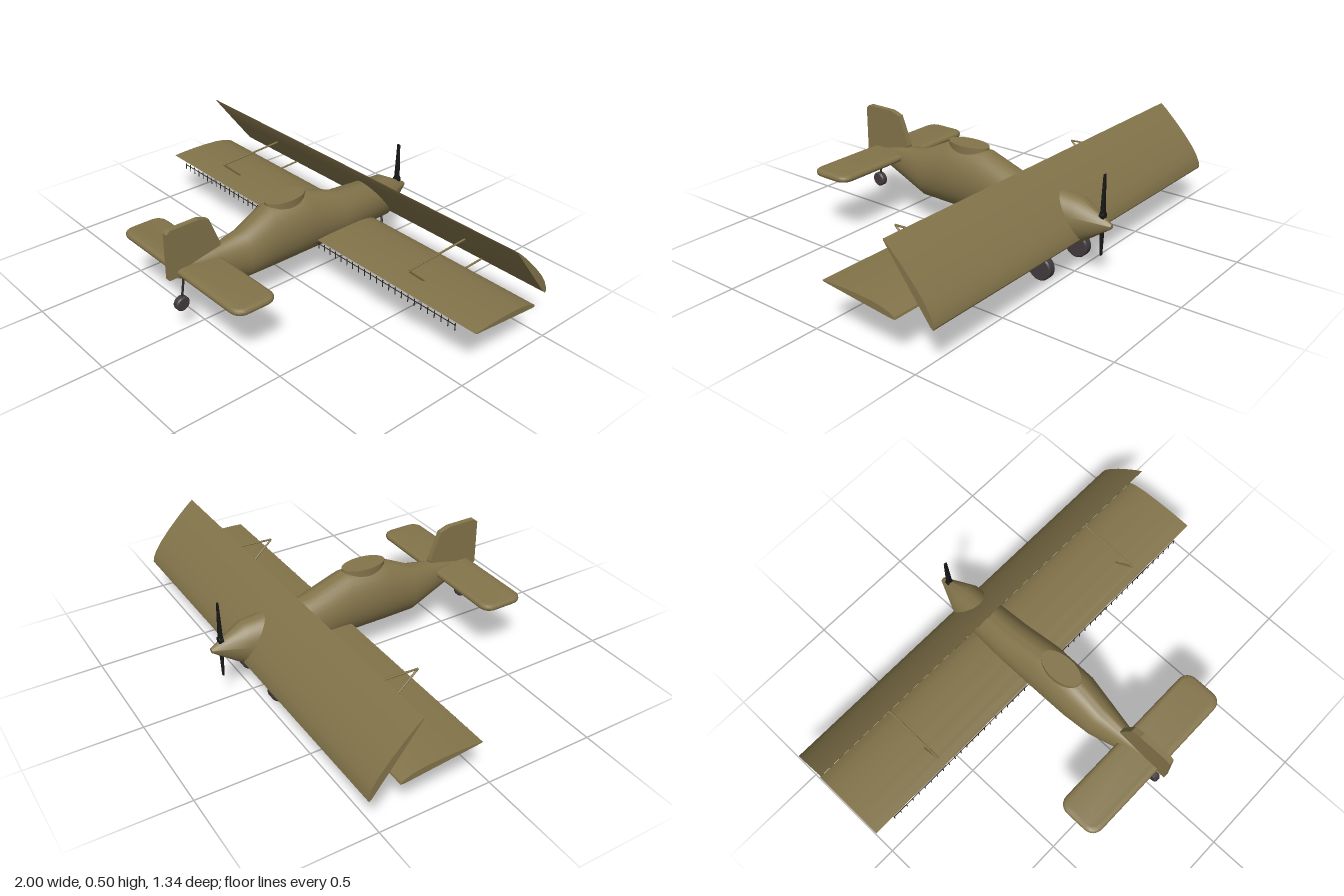
import * as THREE from 'three';
import { toCreasedNormals } from 'three/addons/utils/BufferGeometryUtils.js';

const CX = 0.008; // centre line of the fuselage
const V = (x, y, z) => new THREE.Vector3(x, y, z);

export function createModel() {
  const model = new THREE.Group();
  const paint = (name, color) => {
    const m = new THREE.MeshStandardMaterial({ color });
    m.name = name;
    return m;
  };
  const olive = paint('olive', 0x83744a);
  const rubber = paint('rubber', 0x423b3d);
  const metal = paint('darkMetal', 0x302b28);
  const black = paint('propellerBlack', 0x171717);

  const add = (name, geometry, material) => {
    const mesh = new THREE.Mesh(geometry, material);
    mesh.name = name;
    model.add(mesh);
    return mesh;
  };

  // Straight round rod between two points
  const rod = (name, a, b, radius, material, sides = 8) => {
    const d = b.clone().sub(a);
    const mesh = add(name, new THREE.CylinderGeometry(radius, radius, d.length(), sides), material);
    mesh.position.copy(a).addScaledVector(d, 0.5);
    mesh.quaternion.setFromUnitVectors(V(0, 1, 0), d.normalize());
    return mesh;
  };

  // Side profile of [z, y] points extruded from x0 to x1
  const extrudeX = (points, x0, x1) => {
    const shape = new THREE.Shape(points.map(([z, y]) => new THREE.Vector2(z, y)));
    return new THREE.ExtrudeGeometry(shape, { depth: x1 - x0, bevelEnabled: false })
      .rotateY(-Math.PI / 2).translate(x1, 0, 0);
  };

  // Fuselage lofted from oval sections: z, bottom, top, half width
  const sections = [
    [-0.672, 0.248, 0.268, 0.011], [-0.525, 0.145, 0.35, 0.078],
    [-0.23, 0.145, 0.372, 0.093], [-0.04, 0.145, 0.44, 0.1],
    [0.165, 0.145, 0.44, 0.098], [0.3, 0.145, 0.372, 0.08],
    [0.45, 0.2, 0.345, 0.046], [0.622, 0.265, 0.312, 0.012],
  ];
  const N = 36, pos = [], idx = [];
  for (const [z, lo, hi, w] of sections)
    for (let i = 0; i < N; i++) {
      const a = (i / N) * Math.PI * 2;
      pos.push(CX + w * Math.cos(a), (lo + hi) / 2 + ((hi - lo) / 2) * Math.sin(a), z);
    }
  for (let s = 0; s < sections.length - 1; s++)
    for (let i = 0; i < N; i++) {
      const a = s * N + i, b = s * N + (i + 1) % N;
      idx.push(a, b, b + N, a, b + N, a + N);
    }
  const last = (sections.length - 1) * N;
  for (let i = 1; i < N - 1; i++) idx.push(0, i + 1, i, last, last + i, last + i + 1);
  const hull = new THREE.BufferGeometry();
  hull.setAttribute('position', new THREE.Float32BufferAttribute(pos, 3));
  hull.setIndex(idx);
  add('fuselage', toCreasedNormals(hull, 0.6), olive);

  // Oval cockpit top
  const cockpit = add('cockpit', new THREE.CylinderGeometry(1, 1, 0.06, 40), olive);
  cockpit.scale.set(0.055, 1, 0.104);
  cockpit.position.set(CX, 0.42, 0.063);

  // Wings: cambered top over a nearly flat underside
  const wing = (name, trail, lead, thickness, x0, x1) => {
    const t = new THREE.Vector2(...trail), c = new THREE.Vector2(...lead).sub(t);
    const n = new THREE.Vector2(c.y, -c.x).normalize();
    const pts = [[0, 0], [0.12, 0.3], [0.3, 0.62], [0.5, 0.88], [0.7, 1], [0.84, 0.9],
      [0.94, 0.62], [0.99, 0.3], [1, 0], [0.96, -0.12], [0.5, -0.12], [0.02, -0.1]]
      .map(([s, h]) => [t.x + c.x * s + n.x * h * thickness, t.y + c.y * s + n.y * h * thickness]);
    add(name, toCreasedNormals(extrudeX(pts, x0, x1), 0.6), olive);
  };
  wing('upperWing', [-0.322, 0.456], [-0.545, 0.172], 0.03, -1, 0.952);
  wing('lowerWing', [-0.05, 0.225], [-0.413, 0.189], 0.026, -1, 1);

  // Bent strut frames between the wings
  const frame = [[-0.4, 0.335], [-0.068, 0.317], [-0.23, 0.17], [-0.535, 0.187]];
  for (const x of [-0.604, 0.625])
    for (let i = 0; i < 3; i++)
      rod('wingStrut', V(x, frame[i][1], frame[i][0]), V(x, frame[i + 1][1], frame[i + 1][0]), 0.0045, olive);

  // Spray boom with nozzles under the trailing edge
  rod('sprayBoom', V(-0.9, 0.21, -0.05), V(0.9, 0.21, -0.05), 0.002, metal, 6);
  for (let i = 0; i <= 50; i++) {
    const x = -0.9 + i * 0.036;
    rod('sprayNozzle', V(x, 0.188, -0.048), V(x, 0.222, -0.048), 0.0022, metal, 6);
  }

  // Tailplane: rounded rectangle with soft edges
  const hw = 0.388, hd = 0.08, r = 0.035;
  const plan = new THREE.Shape();
  plan.moveTo(-hw + r, -hd);
  plan.lineTo(hw - r, -hd);
  plan.quadraticCurveTo(hw, -hd, hw, -hd + r);
  plan.lineTo(hw, hd - r);
  plan.quadraticCurveTo(hw, hd, hw - r, hd);
  plan.lineTo(-hw + r, hd);
  plan.quadraticCurveTo(-hw, hd, -hw, hd - r);
  plan.lineTo(-hw, -hd + r);
  plan.quadraticCurveTo(-hw, -hd, -hw + r, -hd);
  const tailGeo = new THREE.ExtrudeGeometry(plan, {
    depth: 0.006, bevelThickness: 0.013, bevelSize: 0.021, bevelSegments: 4, curveSegments: 6,
  }).rotateX(-Math.PI / 2).translate(CX, 0.297, 0.532);
  add('tailplane', toCreasedNormals(tailGeo, 0.6), olive);

  // Tail fin
  add('tailFin', extrudeX([[0.672, 0.28], [0.42, 0.28], [0.415, 0.358], [0.468, 0.49],
    [0.515, 0.506], [0.655, 0.506], [0.672, 0.492]], CX - 0.013, CX + 0.013), olive);

  // Propeller: two tapered blades on a hub
  for (const s of [1, -1]) {
    const blade = new THREE.CylinderGeometry(0.006, 0.015, 0.175, 12);
    const p = blade.attributes.position;
    for (let i = 0; i < p.count; i++)
      if (p.getY(i) > 0) p.setX(i, p.getX(i) * 1.5);
    blade.computeVertexNormals();
    const mesh = add('propellerBlade', blade, black);
    mesh.scale.z = 0.7;
    mesh.position.set(CX, 0.297 + s * 0.09, -0.628);
    if (s < 0) mesh.rotation.z = Math.PI;
  }
  const hub = add('propellerHub', new THREE.CylinderGeometry(0.016, 0.016, 0.02, 16), black);
  hub.rotation.x = Math.PI / 2;
  hub.position.set(CX, 0.297, -0.628);

  // Wheels
  const wheel = (name, x, y, z, radius, width) => {
    const e = 0.006, h = width / 2;
    const outline = [[0, -h], [radius - e, -h], [radius, -h + e], [radius, h - e], [radius - e, h], [0, h]];
    const geo = new THREE.LatheGeometry(outline.map(([a, b]) => new THREE.Vector2(a, b)), 32);
    add(name, toCreasedNormals(geo, 0.6), rubber).rotation.z = Math.PI / 2;
    model.children.at(-1).position.set(x, y, z);
  };

  // Landing gear legs and wheels
  for (const s of [1, -1]) {
    const at = (x, y, z) => V(CX + s * x, y, z);
    wheel('mainWheel', CX + s * 0.137, 0.058, -0.43, 0.056, 0.043);
    rod('frontLeg', at(0.05, 0.22, -0.477), at(0.125, 0.06, -0.43), 0.006, metal);
    rod('rearLeg', at(0.05, 0.195, -0.305), at(0.125, 0.06, -0.43), 0.005, metal);
  }
  wheel('tailWheel', CX, 0.143, 0.615, 0.033, 0.032);
  rod('tailWheelLeg', V(CX, 0.28, 0.595), V(CX, 0.143, 0.615), 0.005, metal);

  return model;
}
